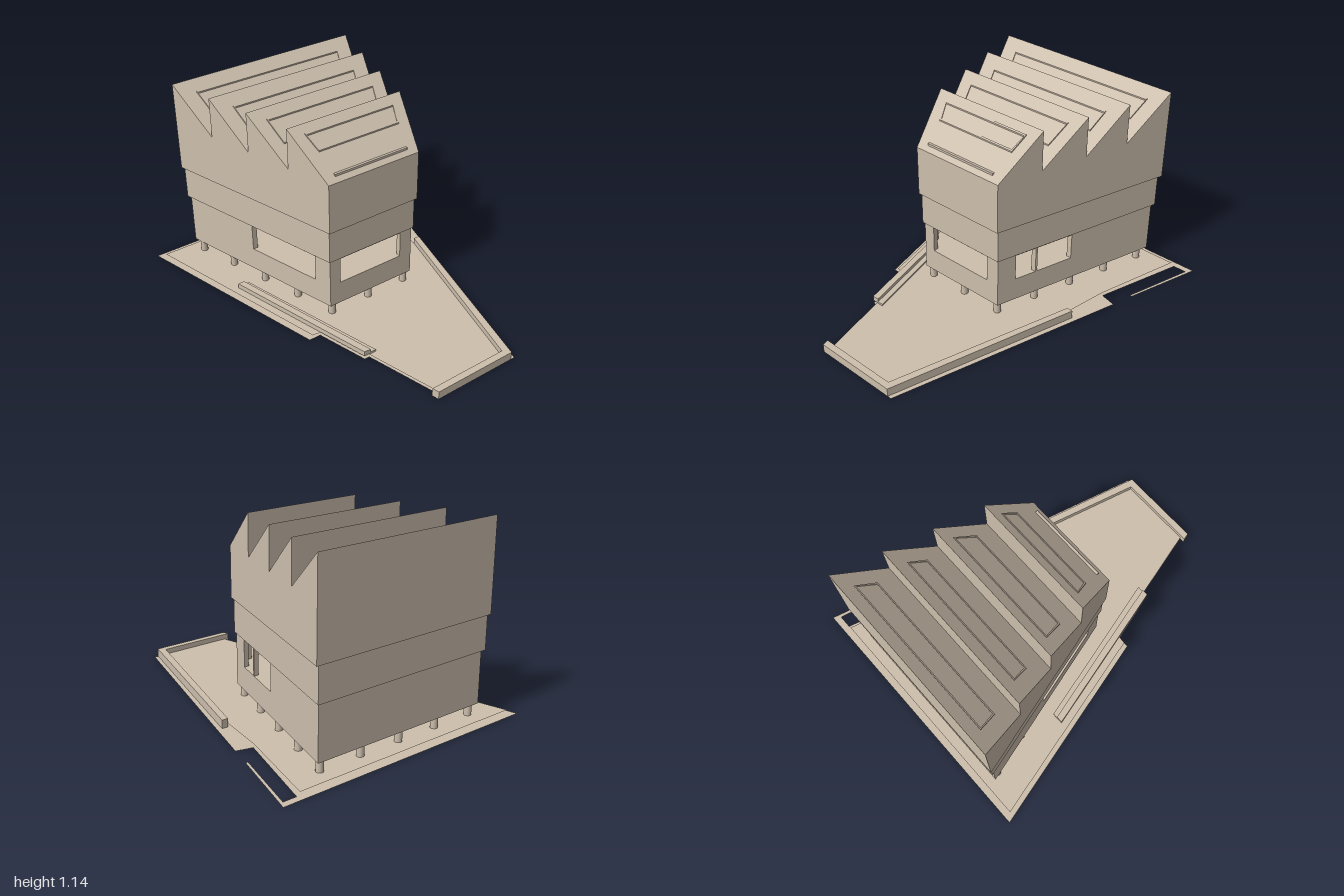
import * as THREE from 'three';

const concrete = new THREE.MeshStandardMaterial({ color: 0xcdbfad });
concrete.name = 'warm concrete';
concrete.side = THREE.DoubleSide;

// Tapering plan of one storey: z of the front and back sides at a given x
const makePlan = (x0, x1, front0, front1, back0, back1) => {
  const mix = (a, b, x) => a + (b - a) * (x - x0) / (x1 - x0);
  return { x0, x1, front: x => mix(front0, front1, x), back: x => mix(back0, back1, x) };
};
const upper = makePlan(-0.93, 0.17, 0.625, 0.325, -0.58, -0.275);
const middle = makePlan(-0.92, 0.155, 0.61, 0.318, -0.56, -0.267);
const lower = makePlan(-0.905, 0.145, 0.595, 0.31, -0.545, -0.26);

const outline = pts => new THREE.Shape(pts.map(p => new THREE.Vector2(p[0], p[1])));
const flip = pts => pts.map(([x, z]) => [x, -z]);
const rect = (a, b, c, d) => [[a, c], [b, c], [b, d], [a, d]];

// Horizontal slab from plan points (x, z)
function slab(pts, y0, y1, hole) {
  const s = outline(flip(pts));
  if (hole) s.holes.push(outline(flip(hole)));
  const g = new THREE.ExtrudeGeometry(s, { depth: y1 - y0, bevelEnabled: false });
  return g.rotateX(-Math.PI / 2).translate(0, y0, 0);
}

// Elevation profile (x, y) stretched between two z rules
function elevation(pts, zBack, zFront, holes = []) {
  const s = outline(pts);
  holes.forEach(h => s.holes.push(outline(h)));
  const g = new THREE.ExtrudeGeometry(s, { depth: 1, bevelEnabled: false });
  const p = g.attributes.position;
  for (let i = 0; i < p.count; i++) {
    const x = p.getX(i);
    p.setZ(i, p.getZ(i) > 0.5 ? zFront(x) : zBack(x));
  }
  g.computeVertexNormals();
  return g;
}

export function createModel() {
  const model = new THREE.Group();
  const add = (name, geometry, parent = model) => {
    const m = new THREE.Mesh(geometry, concrete);
    m.name = name;
    parent.add(m);
    return m;
  };
  const box = (name, x0, x1, y0, y1, z0, z1) =>
    add(name, new THREE.BoxGeometry(x1 - x0, y1 - y0, z1 - z0))
      .position.set((x0 + x1) / 2, (y0 + y1) / 2, (z0 + z1) / 2);

  // Ground sheet with the notched back edge, and the raised inner terrace
  const flat = (name, pts, y) =>
    add(name, new THREE.ShapeGeometry(outline(flip(pts))).rotateX(-Math.PI / 2).translate(0, y, 0));
  flat('ground', [
    [-1, -0.83], [-0.54, -0.705], [-0.54, -0.69], [-0.96, -0.8], [-0.96, -0.72], [-0.43, -0.575],
    [-0.405, -0.67], [1, -0.295], [1, 0.24], [0.96, 0.25], [0.96, 0.22], [0.53, 0.33],
    [0.53, 0.36], [0.225, 0.44], [0.225, 0.51], [-1, 0.82]], 0);
  flat('terrace', [
    [-0.96, -0.7], [-0.43, -0.57], [-0.15, -0.53], [0.96, -0.235], [0.96, 0.22],
    [0.53, 0.33], [0.225, 0.42], [0.22, 0.485], [-0.96, 0.78]], 0.018);

  // Low garden walls
  add('backGardenWall', slab([[-0.145, -0.57], [1, -0.27], [1, -0.225], [-0.145, -0.532]], 0, 0.05));
  add('endGardenWall', slab([[0.96, -0.24], [1, -0.24], [1, 0.24], [0.96, 0.25]], 0, 0.05));
  add('frontGardenWall', slab([[-0.395, 0.555], [0.53, 0.32], [0.53, 0.36], [-0.395, 0.595]], 0.02, 0.05));
  add('frontBench', slab([[-0.395, 0.525], [0.53, 0.285], [0.53, 0.32], [-0.395, 0.555]], 0.018, 0.03));

  // Short round columns around the edge of the lower storey
  const columns = new THREE.Group();
  columns.name = 'columns';
  model.add(columns);
  const column = (x, z) => add('column', new THREE.CylinderGeometry(0.021, 0.021, 0.072, 16), columns)
    .position.set(x, 0.056, z);
  for (let i = 0; i < 5; i++) {
    const x = -0.865 + i * 0.245;
    column(x, 0.56 - i * 0.07);
    column(x, -0.5 + i * 0.067);
  }
  column(0.115, 0.025);
  [-0.235, 0.03, 0.295].forEach(z => column(-0.865, z));
  box('entranceCore', -0.77, -0.4, 0.02, 0.09, 0.02, 0.2);

  // Lower storey: thin walls with window openings, raised floor
  const t = 0.03, { x0, x1, front, back } = lower;
  const wall = rect(x0, x1, 0.09, 0.4);
  add('frontWall', elevation(wall, x => front(x) - t, front, [rect(-0.42, 0.04, 0.23, 0.39)]));
  add('backWall', elevation(wall, back, x => back(x) + t,
    [rect(-0.34, -0.112, 0.23, 0.39), rect(-0.1, 0.03, 0.23, 0.39)]));
  const end = outline(rect(-front(x1) + 0.005, -back(x1) - 0.005, 0.09, 0.4));
  end.holes.push(outline(rect(-0.24, 0.18, 0.23, 0.39)));
  add('endWall', new THREE.ExtrudeGeometry(end, { depth: t, bevelEnabled: false })
    .rotateY(Math.PI / 2).translate(x1 - t, 0, 0));
  add('rearWall', elevation(rect(x0, x0 + t, 0.09, 0.4), x => back(x) + 0.005, x => front(x) - 0.005));
  add('floor', elevation(rect(x0 + 0.01, x1 - 0.01, 0.091, 0.23), x => back(x) + 0.01, x => front(x) - 0.01));
  box('stairCore', -0.47, -0.31, 0.23, 0.4, 0.04, 0.18);

  // Middle storey
  add('middleStorey', elevation(rect(middle.x0, middle.x1, 0.4, 0.6), middle.back, middle.front));

  // Upper storey with its sawtooth roof
  const teeth = [-0.93, -0.65, -0.38, -0.1, 0.17];
  const profile = [[-0.93, 0.6], [0.17, 0.6], [0.17, 0.9]];
  for (let i = 3; i >= 0; i--) {
    profile.push([teeth[i], 1.14]);
    if (i > 0) profile.push([teeth[i], 0.9]);
  }
  add('sawtoothStorey', elevation(profile, upper.back, upper.front));

  // Skylight frames lying on each slope: left x, right x, back z pair, front z pair
  const skylights = [
    [-0.865, -0.755, -0.47, -0.44, 0.51, 0.48], [-0.585, -0.485, -0.39, -0.365, 0.435, 0.41],
    [-0.325, -0.205, -0.335, -0.3, 0.38, 0.35], [-0.055, 0.03, -0.27, -0.245, 0.315, 0.285]];
  skylights.forEach(([a, b, backA, backB, frontA, frontB], i) => {
    const quad = e => [[a + e, backA + e], [b - e, backB + e], [b - e, frontB - e], [a + e, frontA - e]];
    const g = slab(quad(0), 0, 0.008, quad(0.008));
    const p = g.attributes.position;
    for (let k = 0; k < p.count; k++) {
      const f = (p.getX(k) - teeth[i]) / (teeth[i + 1] - teeth[i]);
      p.setY(k, p.getY(k) + 1.14 - 0.24 * f);
    }
    g.computeVertexNormals();
    add('skylightFrame', g);
  });
  box('roofSlot', 0.122, 0.144, 0.918, 0.936, -0.215, 0.265);

  return model;
}
